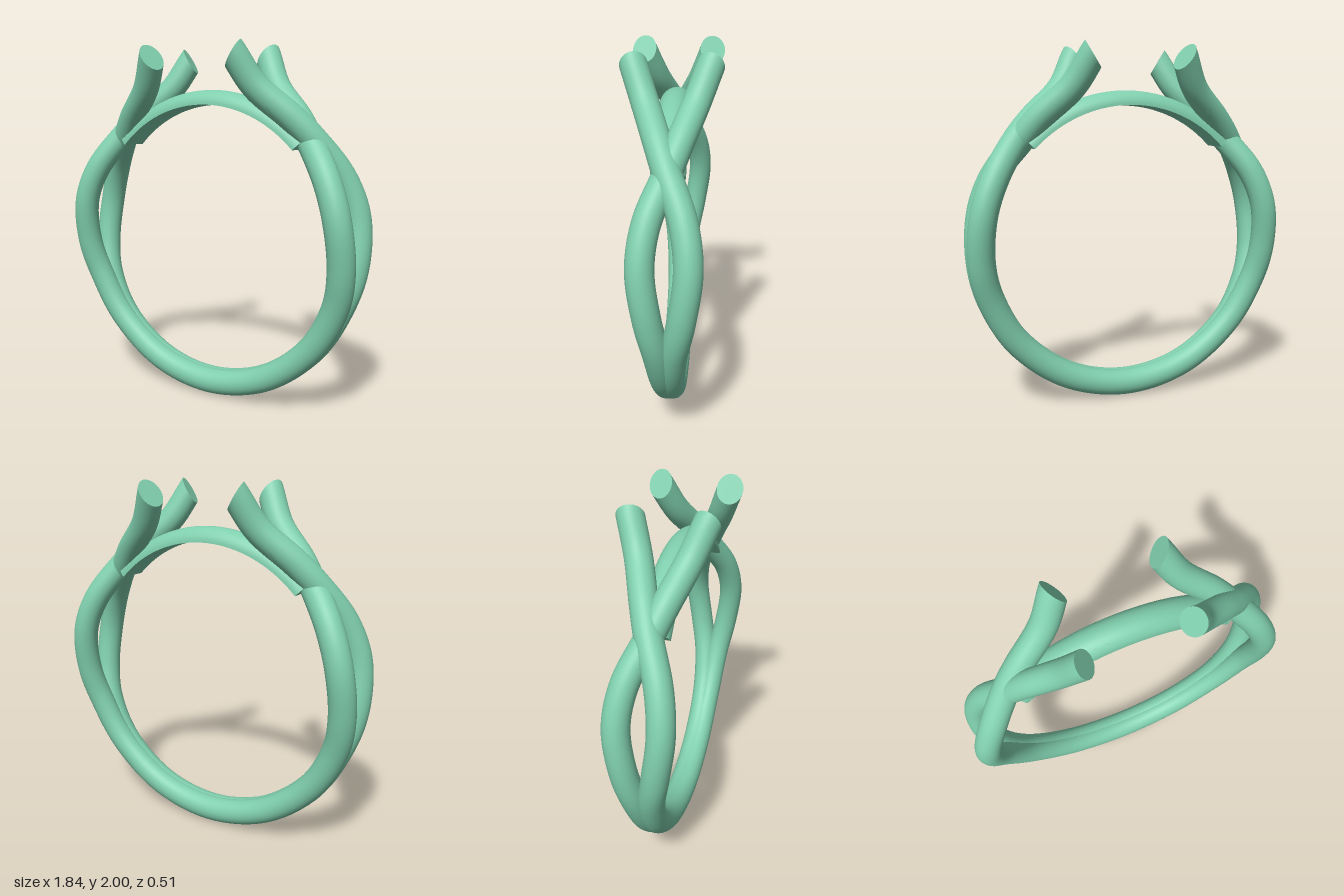
import * as THREE from 'three';
import { toCreasedNormals } from 'three/addons/utils/BufferGeometryUtils.js';

const CENTRE_Y = 0.917;
const material = new THREE.MeshStandardMaterial({ color: 0x80cfae });

// Point on the ring: angle in degrees, radius, z; side mirrors x.
function polar(deg, r, z, side = 1) {
  const a = THREE.MathUtils.degToRad(deg);
  return new THREE.Vector3(side * r * Math.cos(a), CENTRE_Y + r * Math.sin(a), z);
}

// Sweeps a closed section [radial, across] along a clockwise path, with capped
// ends; bevel slants the end cuts. side = 1 keeps the radial axis outward.
function sweep(points, section, steps, outward, bevel = 0) {
  const curve = new THREE.CatmullRomCurve3(points);
  const pos = [], index = [], m = section.length;
  const ring = (i) => {
    const u = i / steps;
    const p = curve.getPointAt(u), t = curve.getTangentAt(u);
    const n = new THREE.Vector3(-t.y, t.x, 0).normalize().multiplyScalar(outward);
    const b = new THREE.Vector3().crossVectors(t, n);
    const slant = bevel * (Math.max(0, 1 - (1 - u) / 0.08) - Math.max(0, 1 - u / 0.08));
    for (const [h, w] of section) {
      const v = p.clone().addScaledVector(n, h).addScaledVector(b, w).addScaledVector(t, h * slant);
      pos.push(v.x, v.y, v.z);
    }
  };
  for (let i = 0; i <= steps; i++) ring(i);
  for (let i = 0; i < steps; i++) {
    for (let j = 0; j < m; j++) {
      const a = i * m + j, b = i * m + (j + 1) % m;
      index.push(a, b, b + m, a, b + m, a + m);
    }
  }
  const last = steps * m;
  for (let j = 1; j < m - 1; j++) {
    index.push(0, j + 1, j, last, last + j, last + j + 1);
  }
  const geo = new THREE.BufferGeometry();
  geo.setAttribute('position', new THREE.Float32BufferAttribute(pos, 3));
  geo.setIndex(index);
  return toCreasedNormals(geo, 0.8);
}

function addMesh(group, name, geo) {
  const mesh = new THREE.Mesh(geo, material);
  mesh.name = name;
  group.add(mesh);
  return mesh;
}

export function createModel() {
  const group = new THREE.Group();
  group.name = 'splitShankRing';

  // Half strand from tip to bottom: angle, radius, z, how far it splits in or out
  const half = [
    [75.7, 1.05, 0.19, 0], [67.4, 0.922, 0.125, 0], [53, 0.866, 0.05, 0.004],
    [43, 0.845, 0, 0.01], [27, 0.843, -0.085, 0.008], [12.5, 0.843, -0.113, 0.008],
    [-5, 0.84, -0.083, 0.005], [-20, 0.837, -0.043, 0], [-40, 0.837, -0.02, 0],
    [-65, 0.837, -0.015, 0],
  ];
  const path = [
    ...half.map(([a, r, z, d]) => polar(a, r + d, z)),
    polar(-90, 0.837, -0.015),
    ...half.map(([a, r, z, d]) => polar(a, r - d, z, -1)).reverse(),
  ];
  const round = [];
  for (let j = 0; j < 32; j++) {
    const a = (j / 32) * Math.PI * 2;
    round.push([0.073 * Math.cos(a), 0.07 * Math.sin(a)]);
  }

  // Two identical strands, each running over on one side and under on the other
  const strand = sweep(path, round, 220, 1, 0.5);
  addMesh(group, 'frontStrand', strand);
  addMesh(group, 'backStrand', strand).rotation.y = Math.PI;

  // Half-round bridge closing the top of the finger hole
  const dome = [];
  for (let j = 0; j <= 20; j++) {
    const a = -Math.PI / 2 + (j / 20) * Math.PI;
    dome.push([0.081 * Math.cos(a), 0.086 * Math.sin(a)]);
  }
  const arc = [];
  for (let a = 136; a >= 44; a -= 4) arc.push(polar(a, 0.762, 0));
  addMesh(group, 'topBridge', sweep(arc, dome, 64, 1));

  return group;
}
